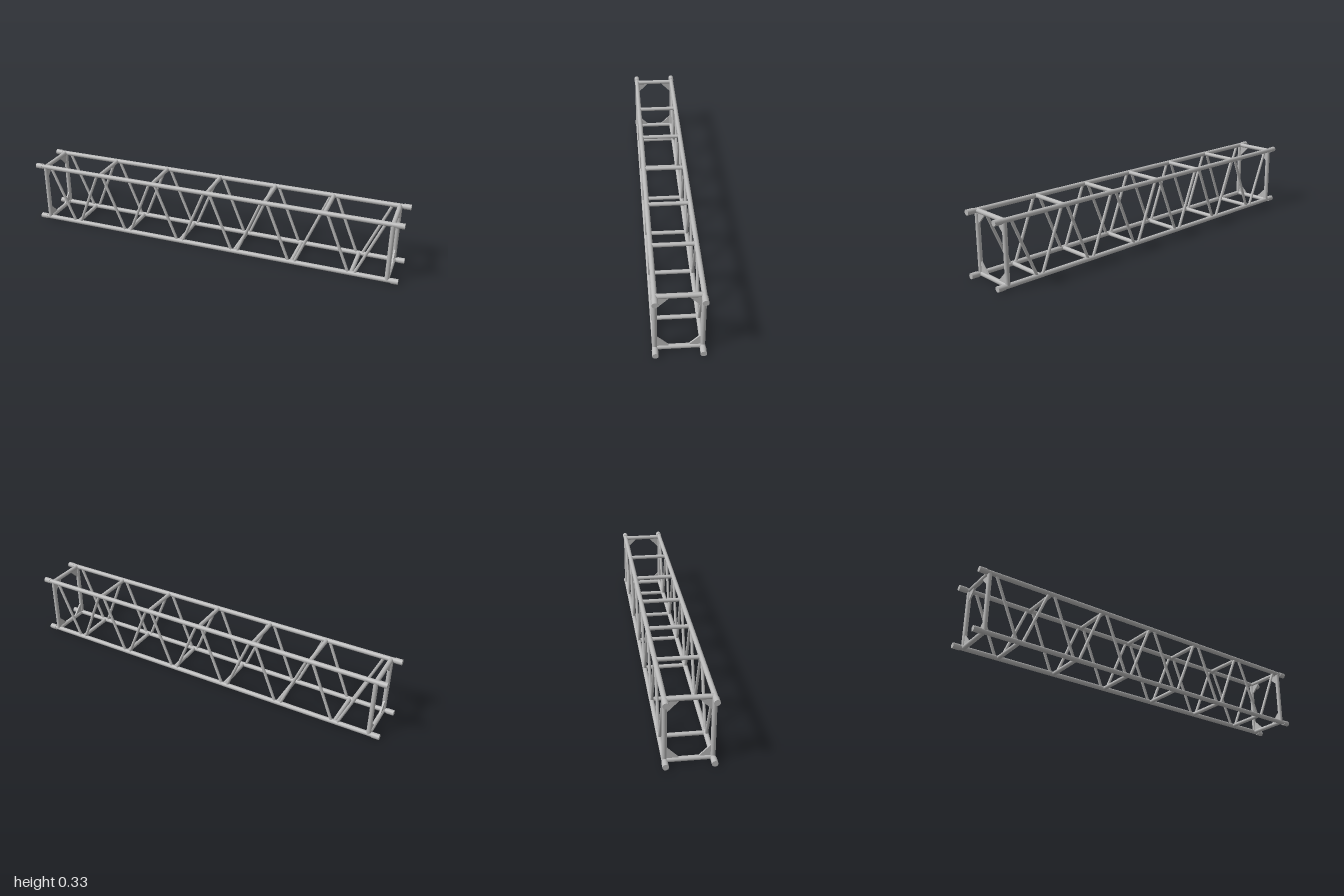
import * as THREE from 'three';

const BOTTOM = 0.0145, TOP = 0.3205, SIDE = 0.106, END = 0.945;
const PITCH = 0.1535; // spacing of the lattice nodes

export function createModel() {
  const group = new THREE.Group();
  const steel = new THREE.MeshStandardMaterial({ color: 0xb8b8b8 });
  steel.name = 'brushed aluminium';

  const up = new THREE.Vector3(0, 1, 0);
  // Round tube between two points
  function tube(name, a, b, radius, sides = 20) {
    const from = new THREE.Vector3(...a), to = new THREE.Vector3(...b);
    const dir = to.clone().sub(from);
    const mesh = new THREE.Mesh(new THREE.CylinderGeometry(radius, radius, dir.length(), sides), steel);
    mesh.position.copy(from).add(to).multiplyScalar(0.5);
    mesh.quaternion.setFromUnitVectors(up, dir.normalize());
    mesh.name = name;
    group.add(mesh);
  }

  // Four main chords with thicker coupling sleeves at the ends
  for (const y of [BOTTOM, TOP]) {
    for (const z of [-SIDE, SIDE]) {
      tube('chord', [-0.99, y, z], [0.99, y, z], 0.012);
      for (const s of [-1, 1]) tube('endCoupling', [s * 0.963, y, z], [s, y, z], 0.0143, 24);
    }
  }

  // Rectangular end frames
  for (const s of [-1, 1]) {
    const x = s * END;
    for (const z of [-SIDE, SIDE]) tube('endPost', [x, BOTTOM, z], [x, TOP, z], 0.0115);
    for (const y of [BOTTOM, TOP]) tube('endCrossbar', [x, y, -SIDE], [x, y, SIDE], 0.0115);
  }

  // Triangular gusset plates in the corners of the end frames
  const thick = 0.008;
  for (const x of [-END, END]) {
    for (const sz of [-1, 1]) {
      for (const top of [false, true]) {
        const sy = top ? -1 : 1, y = top ? TOP : BOTTOM;
        const tri = new THREE.Shape([
          new THREE.Vector2(sz * SIDE, y),
          new THREE.Vector2(sz * (SIDE - 0.073), y),
          new THREE.Vector2(sz * SIDE, y + sy * 0.073),
        ]);
        const geo = new THREE.ExtrudeGeometry(tri, { depth: thick, bevelEnabled: false });
        geo.translate(0, 0, -thick / 2);
        geo.rotateY(-Math.PI / 2);
        const plate = new THREE.Mesh(geo, steel);
        plate.position.x = x;
        plate.name = 'gussetPlate';
        group.add(plate);
      }
    }
  }

  // Crossbars alternate between the bottom (odd nodes) and the top (even nodes)
  for (let i = -5; i <= 5; i++) {
    const y = i % 2 ? BOTTOM : TOP;
    tube('crossbar', [i * PITCH, y, -SIDE], [i * PITCH, y, SIDE], 0.0105);
  }

  // Zigzag diagonals on both side faces
  const gap = 0.0145;
  for (const z of [-SIDE, SIDE]) {
    for (let i = -6; i < 6; i++) {
      const odd = i % 2 !== 0;
      const x0 = i === -6 ? -0.911 : i * PITCH + gap;
      const x1 = i === 5 ? 0.911 : (i + 1) * PITCH - gap;
      tube('diagonal', [x0, odd ? BOTTOM : TOP, z], [x1, odd ? TOP : BOTTOM, z], 0.0075, 16);
    }
  }
  return group;
}
